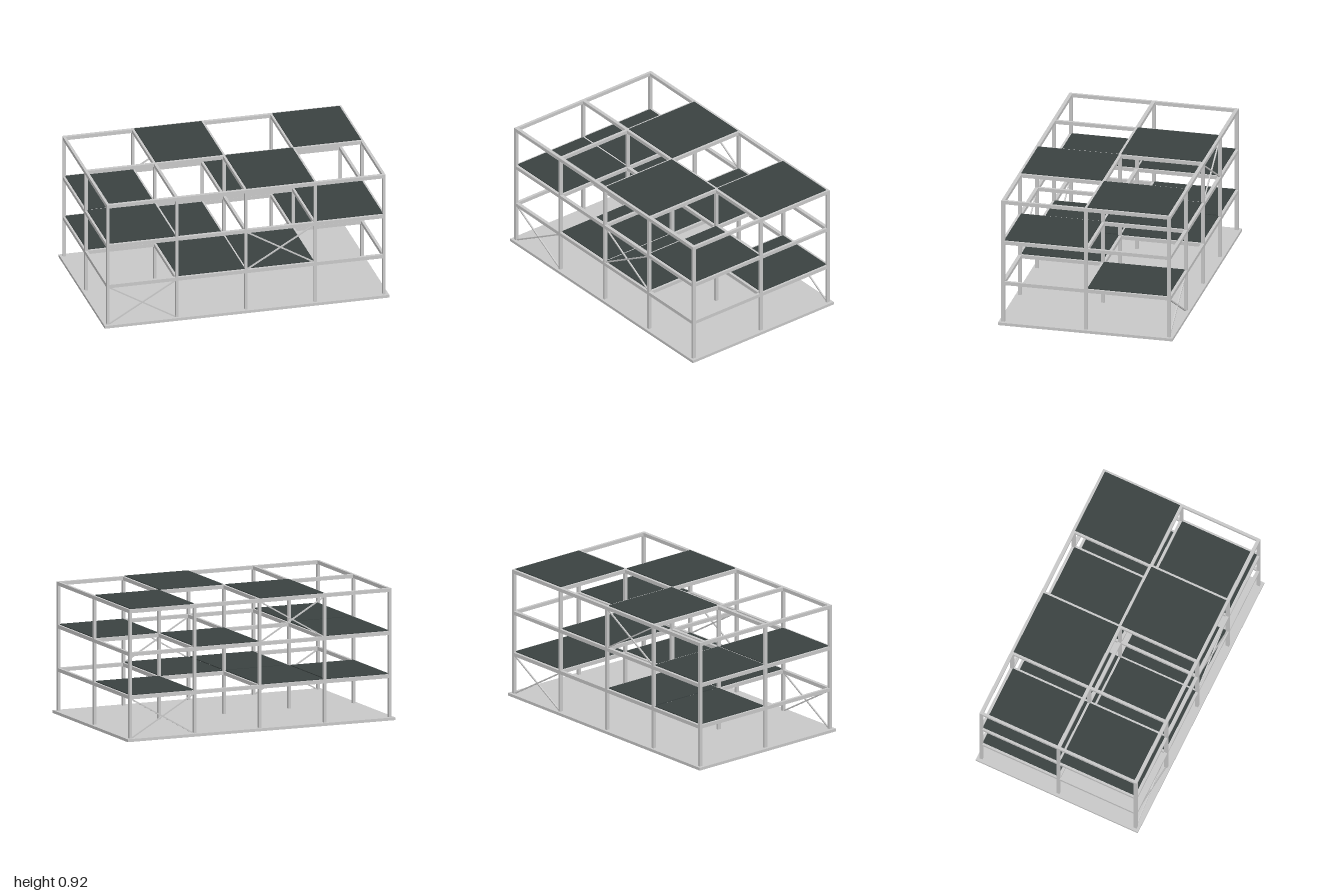
import * as THREE from 'three';

const COLS = [-0.97, -0.486, 0, 0.486, 0.97];
const ROWS = [-0.58, 0, 0.58];
const TOPS = [0.315, 0.613, 0.91]; // top of the beams on each floor
const BASE = 0.02;
const BEAM_H = 0.025;
const STEEL_X = 0.019;
const STEEL_Z = 0.024;

// Floor panels per level as [bay along x, bay along z] (z bay 0 is the back)
const PANELS = [
  [[0, 0], [1, 0], [3, 0], [1, 1], [2, 1]],
  [[0, 0], [0, 1], [2, 0], [3, 1]],
  [[1, 0], [2, 1], [3, 0]],
];

// Cross braces as [bay along x, storey, row along z]
const BRACES = [[0, 0, 2], [3, 0, 0], [2, 1, 2], [1, 2, 0]];

export function createModel() {
  const model = new THREE.Group();
  model.name = 'buildingFrame';

  const steel = new THREE.MeshStandardMaterial({ color: 0xc8c8c8 });
  steel.name = 'light grey steel';
  const deck = new THREE.MeshStandardMaterial({ color: 0x3a4241 });
  deck.name = 'dark slate panel';

  function box(name, parent, material, size, pos) {
    const mesh = new THREE.Mesh(new THREE.BoxGeometry(...size), material);
    mesh.name = name;
    mesh.position.set(...pos);
    parent.add(mesh);
    return mesh;
  }

  function group(name) {
    const g = new THREE.Group();
    g.name = name;
    model.add(g);
    return g;
  }

  // Ground slab
  box('baseSlab', model, steel, [2, BASE, 1.22], [0, BASE / 2, 0]);

  // Columns on every grid crossing
  const columns = group('columns');
  const colH = TOPS[2] - BASE;
  for (const x of COLS) {
    for (const z of ROWS) {
      box('column', columns, steel, [STEEL_X, colH, STEEL_Z], [x, BASE + colH / 2, z]);
    }
  }

  // Beams in both directions on every floor
  const beams = group('beams');
  for (const top of TOPS) {
    const y = top - BEAM_H / 2;
    for (const z of ROWS) box('longBeam', beams, steel, [1.94 + STEEL_X, BEAM_H, STEEL_Z], [0, y, z]);
    for (const x of COLS) box('crossBeam', beams, steel, [STEEL_X, BEAM_H, 1.16 + STEEL_Z], [x, y, 0]);
  }

  // Floor panels resting on the beams
  const panels = group('floorPanels');
  PANELS.forEach((bays, level) => {
    for (const [i, k] of bays) {
      const x = (COLS[i] + COLS[i + 1]) / 2;
      const z = (ROWS[k] + ROWS[k + 1]) / 2;
      box('floorPanel', panels, deck, [0.472, 0.007, 0.564], [x, TOPS[level] + 0.0025, z]);
    }
  });

  // Diagonal cross braces, corner to corner in a bay
  const braces = group('crossBraces');
  for (const [i, storey, k] of BRACES) {
    const w = COLS[i + 1] - COLS[i] - STEEL_X;
    const low = storey === 0 ? BASE : TOPS[storey - 1];
    const high = TOPS[storey] - BEAM_H;
    const h = high - low;
    for (const side of [-1, 1]) {
      const rod = box('braceRod', braces, steel, [Math.hypot(w, h), 0.009, 0.009],
        [(COLS[i] + COLS[i + 1]) / 2, (low + high) / 2, ROWS[k]]);
      rod.rotation.z = side * Math.atan2(h, w);
    }
  }

  return model;
}
